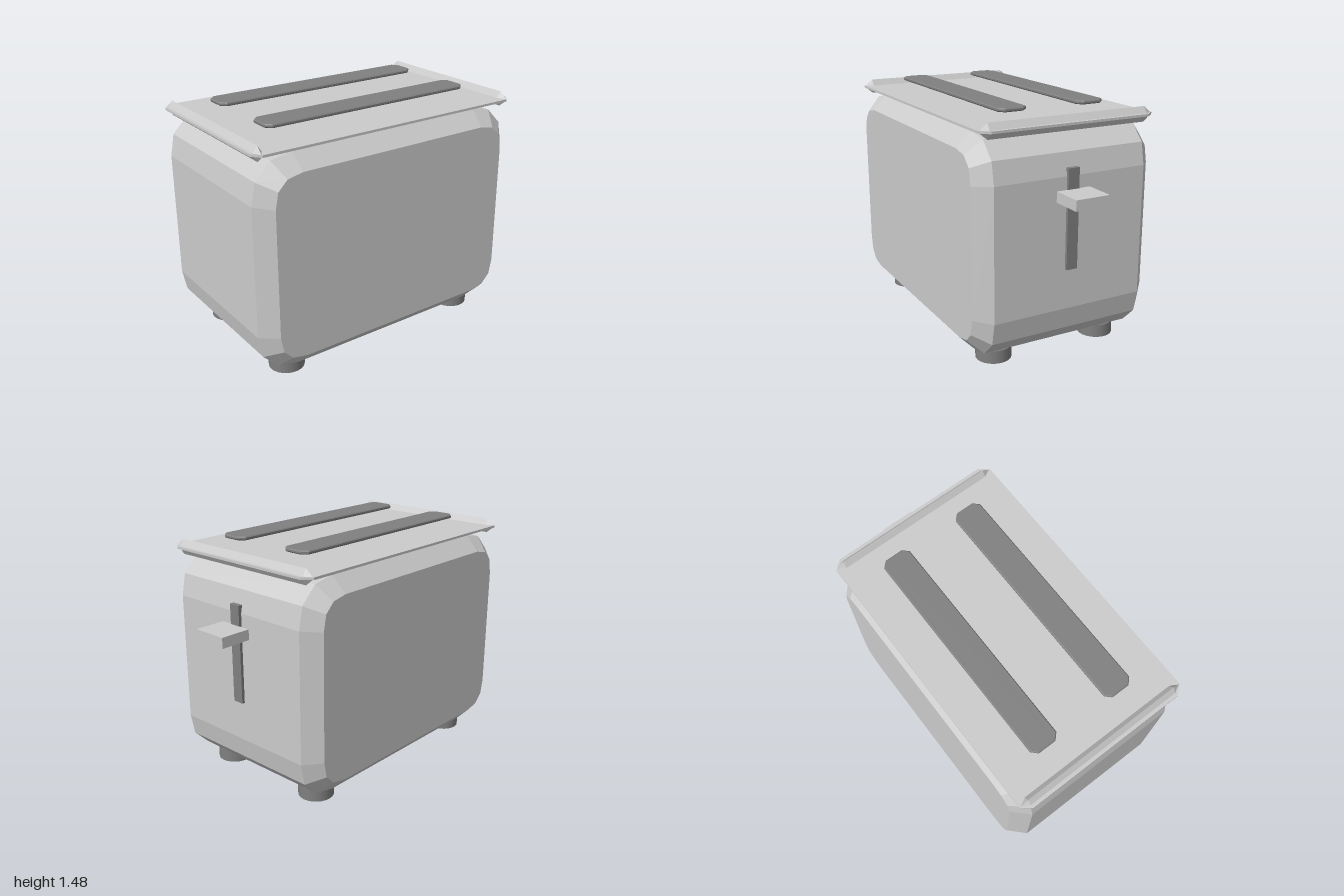
import * as THREE from 'three';

const CX = -0.1; // centre of the casing, the lever sticks out at +x

const grey = new THREE.MeshStandardMaterial({ color: 0xcccccc, flatShading: true });
const dark = new THREE.MeshStandardMaterial({ color: 0x808080 });

function add(parent, name, geometry, material, x = 0, y = 0, z = 0) {
  const mesh = new THREE.Mesh(geometry, material);
  mesh.name = name;
  mesh.position.set(x, y, z);
  parent.add(mesh);
  return mesh;
}

// Rectangle centred on the origin with curved corners
function roundedRect(w, h, r) {
  const x = w / 2, y = h / 2;
  const s = new THREE.Shape();
  s.moveTo(-x + r, -y);
  s.lineTo(x - r, -y);
  s.quadraticCurveTo(x, -y, x, -y + r);
  s.lineTo(x, y - r);
  s.quadraticCurveTo(x, y, x - r, y);
  s.lineTo(-x + r, y);
  s.quadraticCurveTo(-x, y, -x, y - r);
  s.lineTo(-x, -y + r);
  s.quadraticCurveTo(-x, -y, -x + r, -y);
  return s;
}

// Flat slab lying in the xz plane with chamfered corners, centred vertically
function slab(w, d, cx, cz, thickness, bevel) {
  const x = w / 2 - bevel, z = d / 2 - bevel;
  const s = new THREE.Shape([
    [-x + cx, -z], [x - cx, -z], [x, -z + cz], [x, z - cz],
    [x - cx, z], [-x + cx, z], [-x, z - cz], [-x, -z + cz],
  ].map(([a, b]) => new THREE.Vector2(a, b)));
  const depth = thickness - 2 * bevel;
  const g = new THREE.ExtrudeGeometry(s, {
    depth, bevelEnabled: bevel > 0, bevelSize: bevel, bevelThickness: bevel, bevelSegments: 1,
  });
  return g.translate(0, 0, -depth / 2).rotateX(Math.PI / 2);
}

export function createModel() {
  const toaster = new THREE.Group();
  toaster.name = 'toaster';

  // Casing: rounded rectangle with a straight bevel round the front and back
  const casing = new THREE.ExtrudeGeometry(roundedRect(1.61, 1.11, 0.172), {
    depth: 0.97, curveSegments: 3,
    bevelSize: 0.092, bevelThickness: 0.09, bevelSegments: 1,
  });
  add(toaster, 'casing', casing.translate(0, 0, -0.485), grey, CX, 0.72, 0);

  // Thin top plate with a pointed ridge along each end
  const top = new THREE.Group();
  top.name = 'topPlate';
  toaster.add(top);
  add(top, 'plate', slab(1.8, 1.11, 0.045, 0.055, 0.014, 0), grey, CX, 1.4, 0);
  const ridgeProfile = [[0, -0.555], [0.045, -0.5], [0.045, 0.5], [0, 0.555]]
    .map(([r, y]) => new THREE.Vector2(r, y));
  for (const side of [-1, 1]) {
    const ridge = new THREE.LatheGeometry(ridgeProfile, 4).rotateX(Math.PI / 2).scale(0.67, 1, 1);
    add(top, 'endRidge', ridge, grey, CX + side * 0.855, 1.4, 0);
  }

  // Two bread slots
  for (const side of [-1, 1]) {
    add(toaster, 'breadSlot', slab(1.4, 0.178, 0.03, 0.03, 0.022, 0.006), dark, CX, 1.465, side * 0.252);
  }

  // Lever and its track
  add(toaster, 'leverTrack', new THREE.BoxGeometry(0.03, 0.59, 0.07), dark, 0.8, 0.865, 0);
  add(toaster, 'leverKnob', new THREE.BoxGeometry(0.19, 0.063, 0.214), grey, 0.905, 1.008, 0);

  // Feet
  for (const sx of [-1, 1]) {
    for (const sz of [-1, 1]) {
      add(toaster, 'foot', new THREE.CylinderGeometry(0.107, 0.107, 0.08, 24), dark,
        CX + sx * 0.647, 0.04, sz * 0.36);
    }
  }
  return toaster;
}
